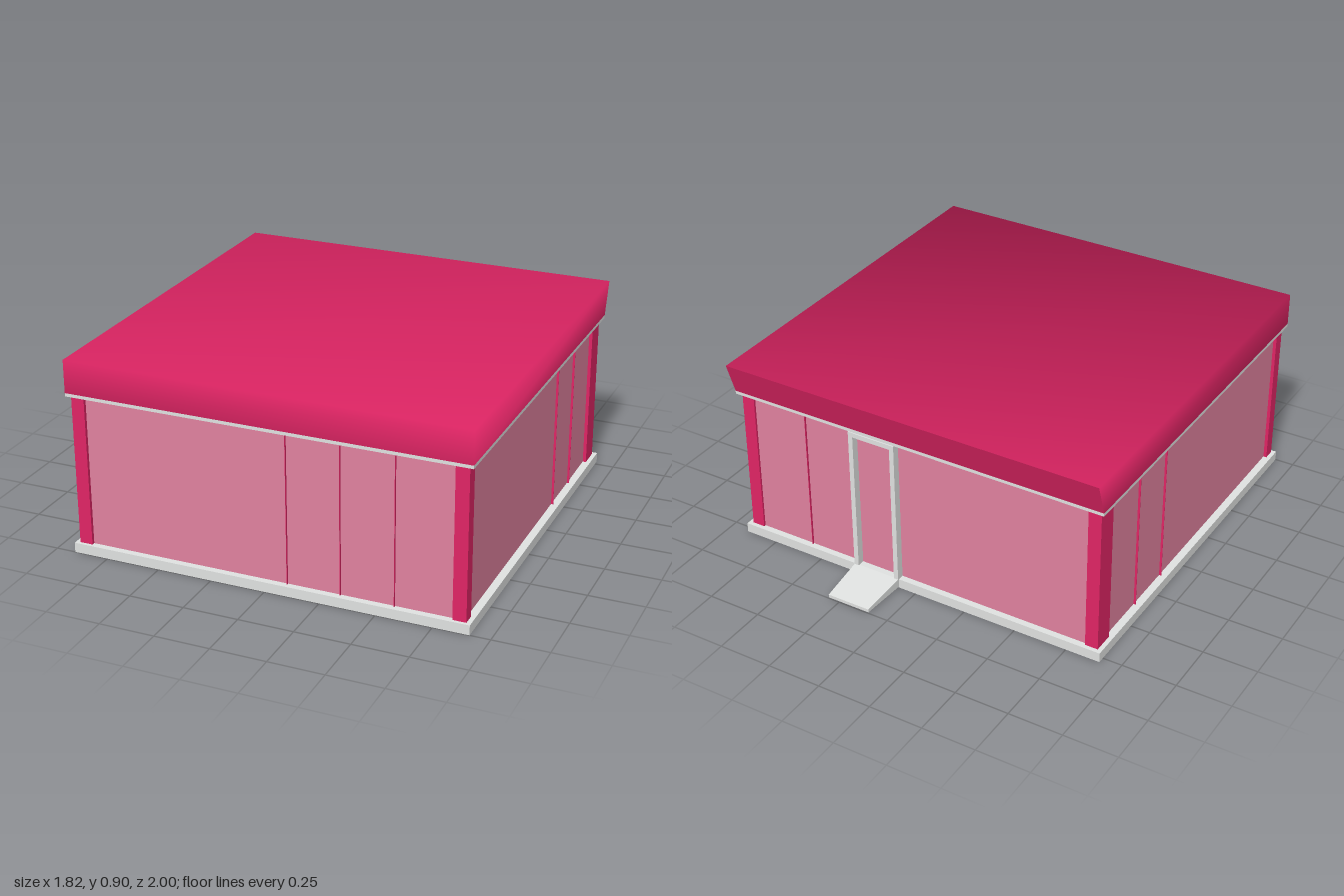
import * as THREE from 'three';

const crimson = new THREE.MeshStandardMaterial({ color: 0xe02565 });
const pink = new THREE.MeshStandardMaterial({ color: 0xe0829f });
const grey = new THREE.MeshStandardMaterial({ color: 0xe0e2e1 });
crimson.name = 'crimson paint';
pink.name = 'pink panel';
grey.name = 'light grey trim';

// Box given by its lower and upper bounds on each axis
function block(parent, name, mat, [x0, x1], [y0, y1], [z0, z1]) {
  const geo = new THREE.BoxGeometry(x1 - x0, y1 - y0, z1 - z0);
  geo.translate((x0 + x1) / 2, (y0 + y1) / 2, (z0 + z1) / 2);
  const mesh = new THREE.Mesh(geo, mat);
  mesh.name = name;
  parent.add(mesh);
  return mesh;
}

// Roof: back face leans outwards, edges shaded softly except at the back
function shapeRoof(mesh) {
  const p = mesh.geometry.attributes.position;
  const n = mesh.geometry.attributes.normal;
  const v = new THREE.Vector3();
  for (let i = 0; i < p.count; i++) {
    const top = p.getY(i) > 0.8;
    const front = p.getZ(i) > 0;
    if (n.getZ(i) > -0.5 && n.getY(i) > -0.5) {
      v.set(Math.sign(p.getX(i)), top ? 1 : 0, front ? 1 : 0).normalize();
      n.setXYZ(i, v.x, v.y, v.z);
    } else if (n.getZ(i) < -0.5) {
      v.set(0, -0.05, -0.15).normalize();
      n.setXYZ(i, v.x, v.y, v.z);
    }
    if (top && !front) p.setZ(i, -0.83);
  }
}

// Ramp: falls and narrows towards its outer end
function shapeRamp(mesh) {
  const p = mesh.geometry.attributes.position;
  for (let i = 0; i < p.count; i++) {
    if (p.getZ(i) > -0.9) continue;
    p.setX(i, 0.2 + (p.getX(i) - 0.2) * 0.9);
    if (p.getY(i) > 0.02) p.setY(i, 0.02);
  }
  mesh.geometry.computeVertexNormals();
}

export function createModel() {
  const model = new THREE.Group();
  model.name = 'pavilion';
  const wallY = [0.045, 0.735];

  // Floor, walls, eaves and roof
  block(model, 'floorSlab', grey, [-0.91, 0.91], [0, 0.045], [-0.78, 1]);
  block(model, 'wallPanels', pink, [-0.875, 0.875], wallY, [-0.75, 0.97]);
  block(model, 'eavesTrim', grey, [-0.91, 0.91], [0.735, 0.75], [-0.78, 1]);
  shapeRoof(block(model, 'roof', crimson, [-0.91, 0.91], [0.75, 0.9], [-0.78, 1]));

  // Corner posts
  for (const s of [-1, 1]) {
    const x = s > 0 ? [0.83, 0.89] : [-0.89, -0.83];
    block(model, 'frontPost', crimson, x, wallY, [0.93, 0.985]);
    block(model, 'backPost', crimson, x, wallY, [-0.76, -0.66]);
  }

  // Thin upright fins at the panel joints
  const t = 0.001;
  for (const x of [0.095, 0.335, 0.575])
    block(model, 'frontFin', crimson, [x - t, x + t], wallY, [0.97, 0.98]);
  for (const z of [-0.17, -0.41]) {
    block(model, 'leftFin', crimson, [0.875, 0.885], wallY, [z - t, z + t]);
    block(model, 'rightFin', crimson, [-0.885, -0.875], wallY, [z - t, z + t]);
  }
  block(model, 'backFin', crimson, [0.56 - t, 0.56 + t], wallY, [-0.76, -0.75]);

  // Back door frame and ramp
  const door = new THREE.Group();
  door.name = 'doorway';
  model.add(door);
  block(door, 'doorJamb', grey, [0.085, 0.107], wallY, [-0.785, -0.75]);
  block(door, 'doorJamb', grey, [0.293, 0.315], wallY, [-0.785, -0.75]);
  block(door, 'doorLintel', grey, [0.107, 0.293], [0.713, 0.735], [-0.785, -0.75]);
  shapeRamp(block(door, 'ramp', grey, [0.085, 0.315], [0.005, 0.045], [-1, -0.78]));

  return model;
}
